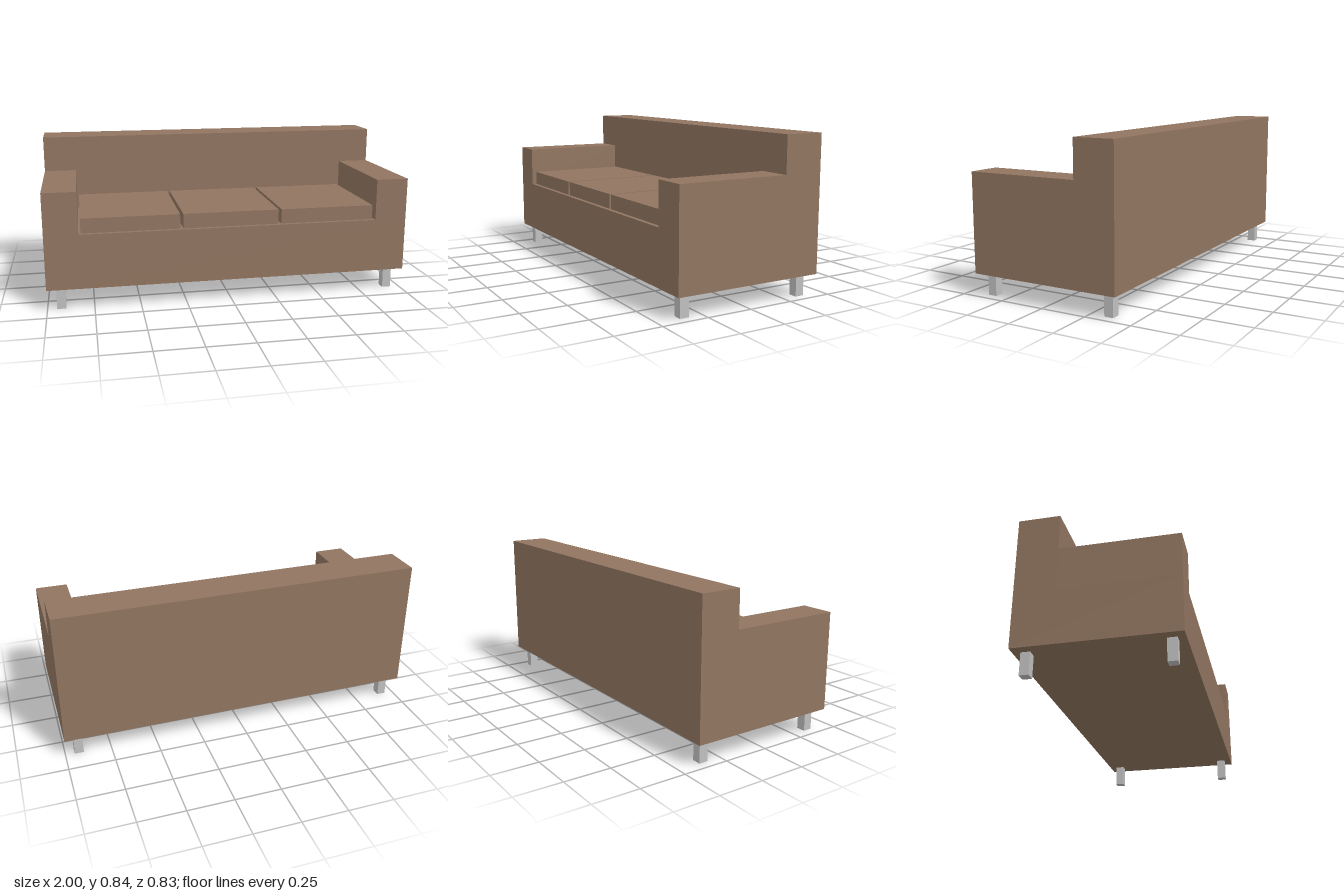
import * as THREE from 'three';

export function createModel() {
  const sofa = new THREE.Group();
  sofa.name = 'sofa';

  const fabric = new THREE.MeshStandardMaterial({ color: 0x917560 });
  fabric.name = 'brown fabric';
  const metal = new THREE.MeshStandardMaterial({ color: 0xc0c0c0 });
  metal.name = 'grey metal';

  // Box given by its limits on each axis
  function block(name, material, [x0, x1], [y0, y1], [z0, z1]) {
    const mesh = new THREE.Mesh(new THREE.BoxGeometry(x1 - x0, y1 - y0, z1 - z0), material);
    mesh.position.set((x0 + x1) / 2, (y0 + y1) / 2, (z0 + z1) / 2);
    mesh.name = name;
    sofa.add(mesh);
  }

  const bottom = 0.12, seat = 0.417, armTop = 0.646, backTop = 0.844;
  const front = 0.417, backFace = -0.198, armInner = 0.82;

  // Body
  block('base', fabric, [-1, 1], [bottom, seat], [-front, front]);
  block('backrest', fabric, [-1, 1], [seat, backTop], [-front, backFace]);

  // Arms
  block('leftArm', fabric, [armInner, 1], [seat, armTop], [backFace, front]);
  block('rightArm', fabric, [-1, -armInner], [seat, armTop], [backFace, front]);

  // Three seat cushions with narrow gaps
  for (const i of [-1, 0, 1]) {
    const x = i * 0.545;
    block('seatCushion', fabric, [x - 0.264, x + 0.264], [seat, 0.497], [backFace, 0.393]);
  }

  // Square legs
  for (const sx of [-1, 1]) {
    for (const sz of [-1, 1]) {
      const x = sx * 0.925, z = sz * 0.352, h = 0.0245;
      block('leg', metal, [x - h, x + h], [0, bottom], [z - h, z + h]);
    }
  }

  return sofa;
}
